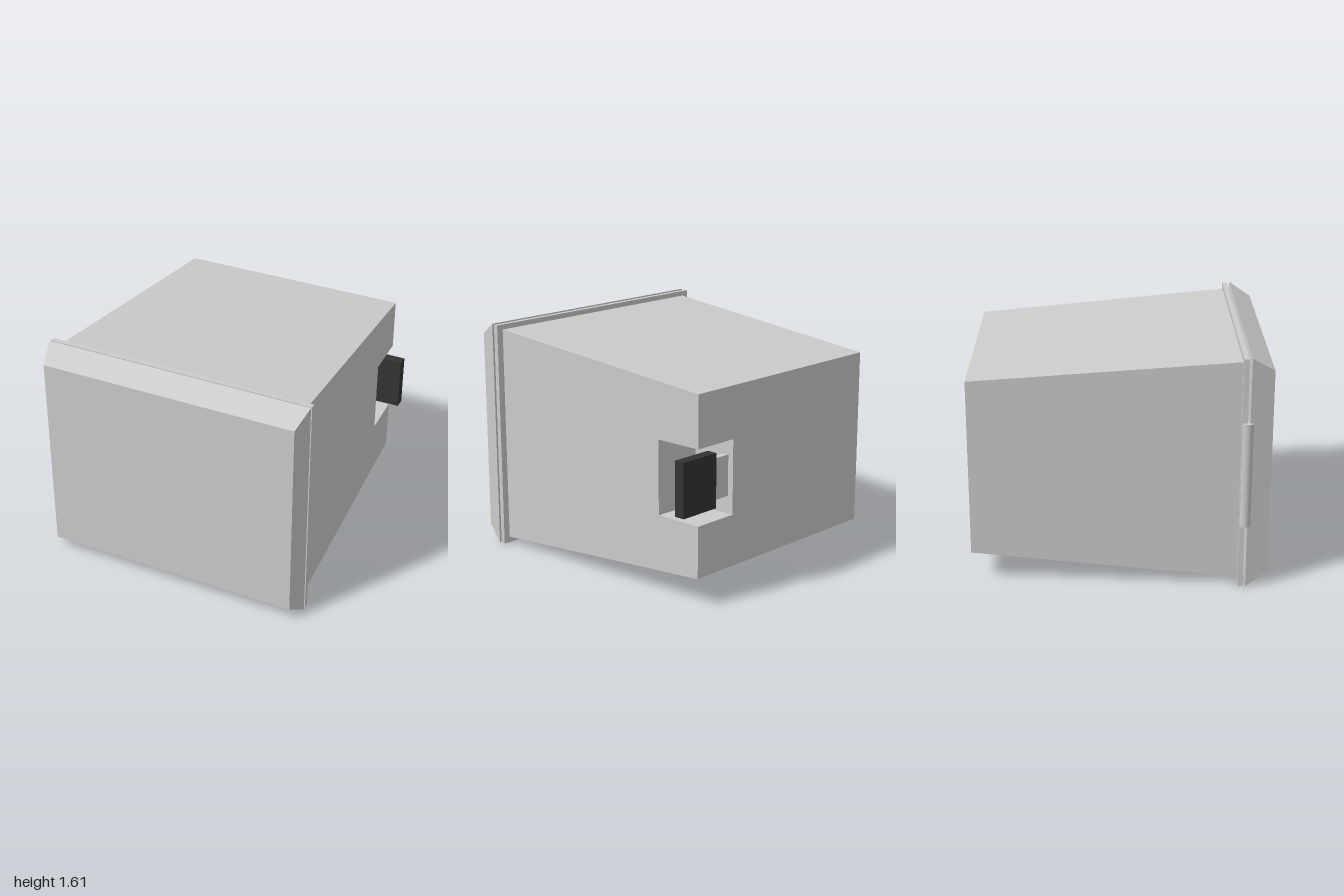
import * as THREE from 'three';

const grey = () => new THREE.MeshStandardMaterial({ color: 0xcccccc, flatShading: true });
const dark = () => new THREE.MeshStandardMaterial({ color: 0x333333, flatShading: true });

function addMesh(parent, name, geometry, material) {
  const mesh = new THREE.Mesh(geometry, material);
  mesh.name = name;
  parent.add(mesh);
  return mesh;
}

// Box given by its extents along each axis
function addBox(parent, name, [x0, x1], [y0, y1], [z0, z1], material) {
  const mesh = addMesh(parent, name, new THREE.BoxGeometry(x1 - x0, y1 - y0, z1 - z0), material);
  mesh.position.set((x0 + x1) / 2, (y0 + y1) / 2, (z0 + z1) / 2);
}

// Closed solid through rectangles [z, x0, x1, y0, y1], ordered back to front
function loftRects(sections) {
  const rings = sections.map(([z, x0, x1, y0, y1]) =>
    [[x0, y0, z], [x1, y0, z], [x1, y1, z], [x0, y1, z]]);
  const pos = [];
  const quad = (a, b, c, d) => pos.push(...a, ...b, ...c, ...a, ...c, ...d);
  for (let s = 0; s < rings.length - 1; s++) {
    const a = rings[s], b = rings[s + 1];
    for (let i = 0; i < 4; i++) {
      const j = (i + 1) % 4;
      quad(a[i], a[j], b[j], b[i]);
    }
  }
  const back = rings[0], front = rings[rings.length - 1];
  quad(...front);
  quad(back[3], back[2], back[1], back[0]);
  const g = new THREE.BufferGeometry();
  g.setAttribute('position', new THREE.Float32BufferAttribute(pos, 3));
  g.computeVertexNormals();
  return g;
}

// Upright slab over an (x, z) outline; floor and ceiling heights may vary with z
function slab(outline, floor, ceiling) {
  const shape = new THREE.Shape(outline.map(([x, z]) => new THREE.Vector2(x, -z)));
  const g = new THREE.ExtrudeGeometry(shape, { depth: 1, bevelEnabled: false });
  g.rotateX(-Math.PI / 2);
  const p = g.attributes.position;
  for (let i = 0; i < p.count; i++) {
    const z = p.getZ(i);
    p.setY(i, p.getY(i) < 0.5 ? floor(z) : ceiling(z));
  }
  g.computeVertexNormals();
  return g;
}

export function createModel() {
  const model = new THREE.Group();
  model.name = 'box';

  // Tapered housing in three layers, the middle one cut away at the rear corner
  const zBack = -1, zFront = 0.8;
  const along = (back, front) => z => back + (front - back) * (z - zBack) / (zFront - zBack);
  const bottom = along(0.195, 0.045), top = along(1.415, 1.57);
  const notchLow = () => 0.55, notchHigh = () => 1.06;
  const left = along(0.83, 0.91);
  const full = [[-0.88, zFront], [0.91, zFront], [0.83, zBack], [-0.8, zBack]];
  const notched = [[-0.88, zFront], [0.91, zFront], [left(-0.665), -0.665],
    [0.52, -0.68], [0.505, zBack], [-0.8, zBack]];
  const housing = new THREE.Group();
  housing.name = 'housing';
  model.add(housing);
  addMesh(housing, 'housingLower', slab(full, bottom, notchLow), grey());
  addMesh(housing, 'housingMiddle', slab(notched, notchLow, notchHigh), grey());
  addMesh(housing, 'housingUpper', slab(full, notchHigh, top), grey());

  // Front frame and bevelled door
  addBox(model, 'frontFrame', [-0.93, 0.957], [0.005, 1.605], [0.795, 0.83], grey());
  addMesh(model, 'door', loftRects([
    [0.83, -0.83, 0.857, 0.105, 1.505],
    [0.848, -0.93, 0.957, 0, 1.61],
    [1, -0.888, 0.915, 0.095, 1.515],
  ]), grey());

  // Hinge barrel
  const hinge = addMesh(model, 'hinge', new THREE.CylinderGeometry(0.037, 0.037, 0.725, 24),
    new THREE.MeshStandardMaterial({ color: 0xcccccc }));
  hinge.position.set(-0.923, 0.8075, 0.833);

  // Latch handle and its arm inside the corner recess
  addBox(model, 'latchArm', [0.5, 0.7], [0.67, 0.95], [-0.96, -0.92], grey());
  addBox(model, 'latchHandle', [0.635, 0.935], [0.62, 0.99], [-0.975, -0.9], dark());

  return model;
}
